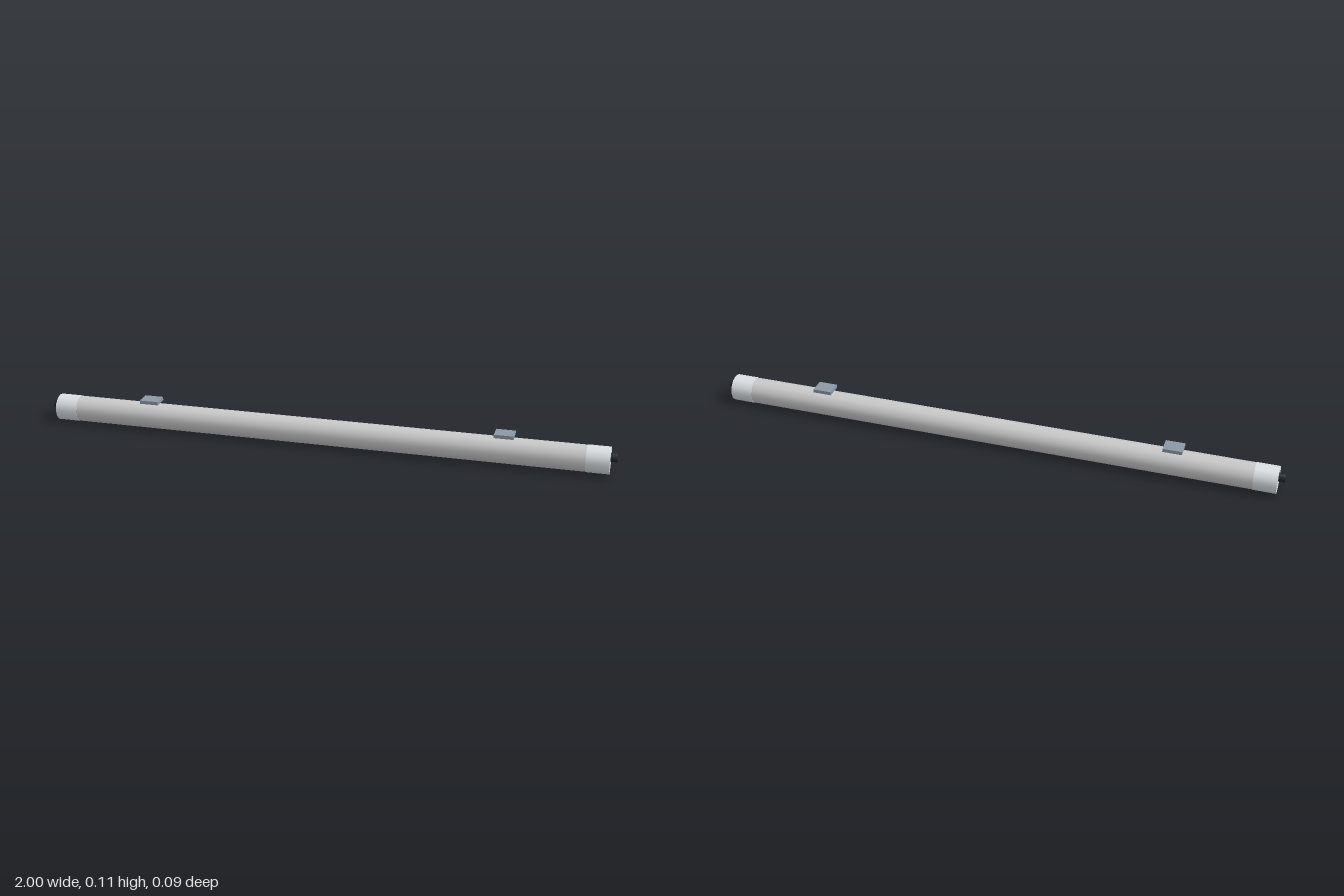
import * as THREE from 'three';

const AXIS_Y = 0.0468;

const material = (color) => new THREE.MeshStandardMaterial({ color });

// Closed cylinder lying along x, centred at (x, y, 0)
function rod(name, radius, length, sides, x, y, mat) {
  const geometry = new THREE.CylinderGeometry(radius, radius, length, sides);
  geometry.rotateZ(-Math.PI / 2);
  const mesh = new THREE.Mesh(geometry, mat);
  mesh.name = name;
  mesh.position.set(x, y, 0);
  return mesh;
}

export function createModel() {
  const group = new THREE.Group();
  group.name = 'tubeLight';

  const tubeMat = material(0xcccccc);
  const capMat = material(0xdde2e5);
  const plugMat = material(0x22282c);
  const clipMat = material(0x8d99a6);

  // Long diffuser tube
  group.add(rod('tube', 0.0455, 1.84, 12, 0, AXIS_Y, tubeMat));

  for (const [side, s] of [['left', 1], ['right', -1]]) {
    // End cap, slightly wider than the tube
    group.add(rod(side + 'EndCap', 0.0465, 0.078, 12, s * 0.939, AXIS_Y, capMat));

    // Cable plug, set a little above the tube axis
    group.add(rod(side + 'Plug', 0.0155, 0.03, 12, s * 0.985, 0.059, plugMat));

    // Flat mounting clip just above the tube
    const clip = new THREE.Mesh(new THREE.BoxGeometry(0.066, 0.012, 0.056), clipMat);
    clip.name = side + 'MountingClip';
    clip.position.set(s * 0.627, 0.103, 0);
    group.add(clip);
  }

  return group;
}
